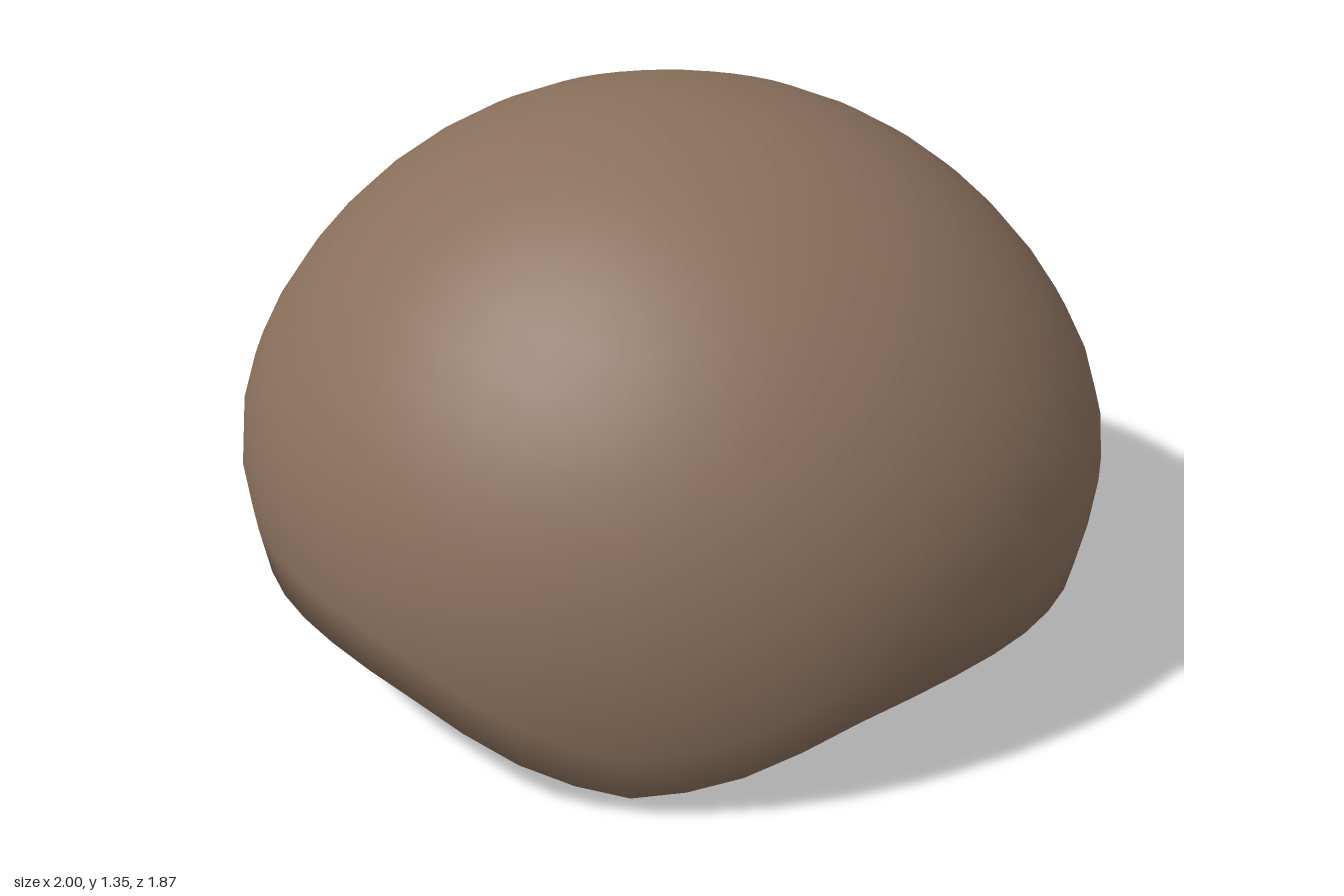
import * as THREE from 'three';
import { mergeVertices } from 'three/addons/utils/BufferGeometryUtils.js';

const SEGMENTS = 48, ROWS = 14;
const CENTRE_Y = 0.42, RADIUS_Y = 0.925, RADIUS_Z = 0.935;
const INNER_SCALE = 0.91;

// Height of the rim every 15 degrees, from the front round to the back
const rimCurve = new THREE.SplineCurve(
  [0.05, 0.115, 0.228, 0.272, 0.274, 0.266, 0.26, 0.25, 0.2, 0.135, 0.06, 0.02, 0]
    .map((y, i) => new THREE.Vector2(i * 15, y)));

// Point on the outer dome: angle a from the front, t from crown (0) to rim (1)
function domePoint(a, t) {
  const around = Math.min(a, 2 * Math.PI - a) / Math.PI;
  const rimY = rimCurve.getPoint(around).y;
  const theta = t * Math.acos((rimY - CENTRE_Y) / RADIUS_Y);
  const up = RADIUS_Y * Math.cos(theta);
  const d = CENTRE_Y + up - rimY;
  // The sides swell slightly, then tuck in at the rim
  const tuck = 0.015 * Math.exp(-(((d - 0.42) / 0.25) ** 2)) - 0.031 * Math.exp(-((d / 0.16) ** 2));
  const r = Math.sin(theta) * (1 + tuck * Math.sin(a) ** 2);
  return new THREE.Vector3(r * Math.sin(a), up, r * RADIUS_Z * Math.cos(a));
}

// Closed thick shell: down the outside, across the rim, up the inside
function shellGeometry() {
  const positions = [], index = [];
  const rows = 2 * ROWS + 2;
  for (let i = 0; i < rows; i++) {
    const inside = i > ROWS;
    const t = (inside ? rows - 1 - i : i) / ROWS;
    for (let j = 0; j < SEGMENTS; j++) {
      const p = domePoint((j / SEGMENTS) * 2 * Math.PI, t);
      if (inside) p.multiplyScalar(INNER_SCALE);
      positions.push(p.x, p.y + CENTRE_Y, p.z);
    }
  }
  for (let i = 0; i < rows - 1; i++) {
    for (let j = 0; j < SEGMENTS; j++) {
      const k = (j + 1) % SEGMENTS;
      const a = i * SEGMENTS + j, b = i * SEGMENTS + k;
      const c = a + SEGMENTS, d = b + SEGMENTS;
      if (i < rows - 2) index.push(a, c, d);
      if (i > 0) index.push(a, d, b);
    }
  }
  const geometry = new THREE.BufferGeometry();
  geometry.setAttribute('position', new THREE.Float32BufferAttribute(positions, 3));
  geometry.setIndex(index);
  const merged = mergeVertices(geometry, 1e-4);
  merged.computeVertexNormals();
  return merged;
}

export function createModel() {
  const group = new THREE.Group();
  group.name = 'hairCap';
  const material = new THREE.MeshStandardMaterial({ color: 0x8a705c });
  const shell = new THREE.Mesh(shellGeometry(), material);
  shell.name = 'capShell';
  group.add(shell);
  return group;
}
